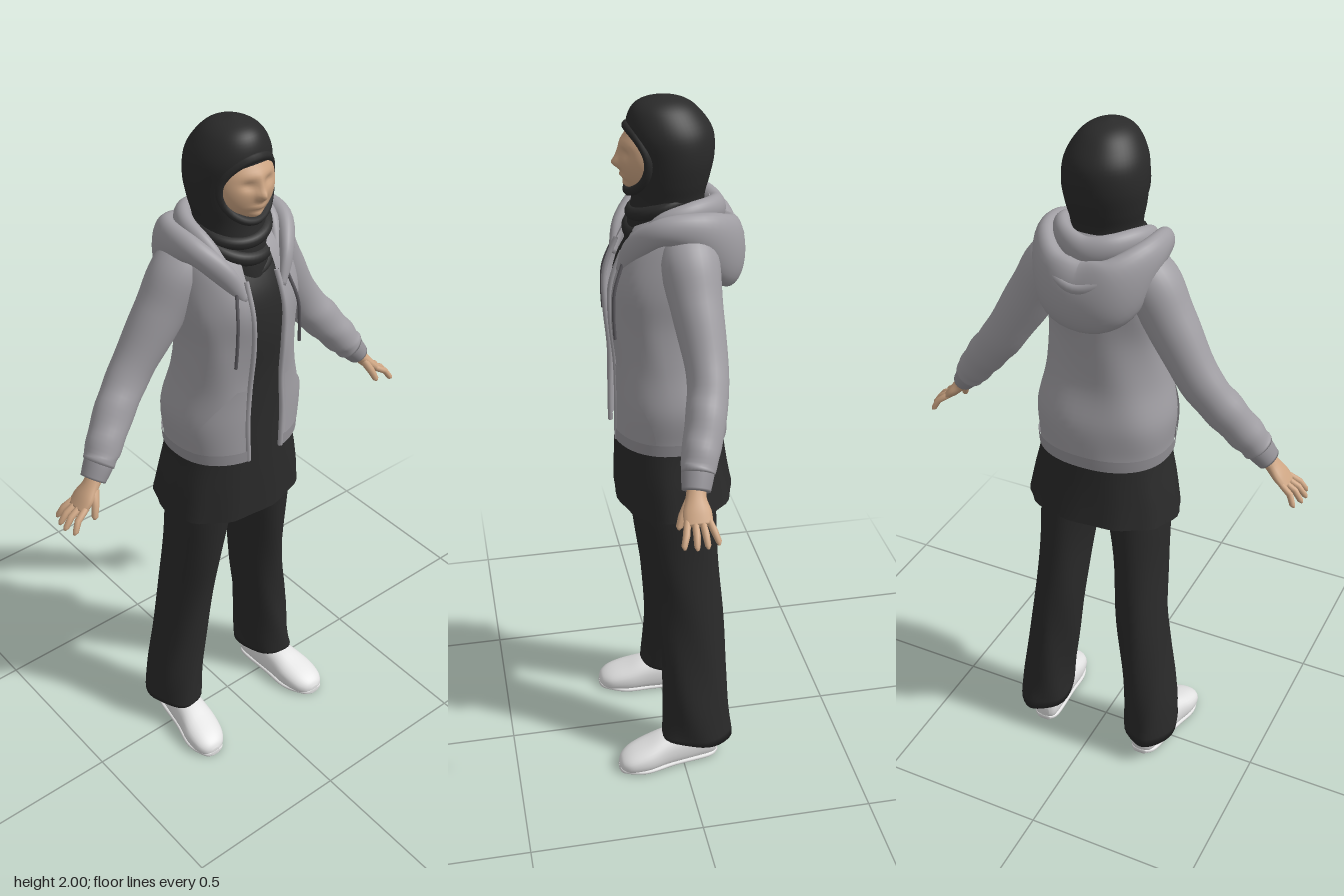
import * as THREE from 'three';

const mat = (name, color, side = THREE.FrontSide) => {
  const m = new THREE.MeshStandardMaterial({ color, side });
  m.name = name;
  return m;
};
const V = (x, y, z) => new THREE.Vector3(x, y, z);
const X = V(1, 0, 0), Y = V(0, 1, 0), Z = V(0, 0, 1);

// Smoothly subdivide rows of numbers (Catmull-Rom on every column)
function sample(rows, k = 5) {
  const out = [], n = rows.length;
  for (let i = 0; i < n - 1; i++) {
    const a = rows[Math.max(i - 1, 0)], b = rows[i], c = rows[i + 1], d = rows[Math.min(i + 2, n - 1)];
    for (let j = 0; j < k; j++) {
      const t = j / k;
      out.push(b.map((p, q) => p + 0.5 * t * (c[q] - a[q] + t * (2 * a[q] - 5 * p + 4 * c[q] - d[q]
        + t * (3 * (p - c[q]) + d[q] - a[q])))));
    }
  }
  out.push(rows[n - 1]);
  return out;
}

// Skin elliptical rings; each row is [x, y, z, radius along ref, radius across]
function skin(rows, { ref = Z, axis = null, n = 28, arc = null, power = 1, cap = true, wave = null } = {}) {
  const pos = [], idx = [], m = rows.length, cols = arc ? n + 1 : n;
  const P = rows.map(r => V(r[0], r[1], r[2]));
  const pw = v => Math.sign(v) * Math.abs(v) ** power;
  rows.forEach((r, i) => {
    const t = axis || P[Math.min(i + 1, m - 1)].clone().sub(P[Math.max(i - 1, 0)]).normalize();
    const u = ref.clone().addScaledVector(t, -ref.dot(t)).normalize();
    const v = t.clone().cross(u);
    const [a0, a1] = arc ? arc(i / (m - 1)) : [0, Math.PI * 2];
    for (let j = 0; j < cols; j++) {
      const a = a0 + (a1 - a0) * j / n;
      const p = P[i].clone().addScaledVector(u, pw(Math.cos(a)) * r[3]).addScaledVector(v, pw(Math.sin(a)) * r[4]);
      if (wave) wave(p, a, i / (m - 1));
      pos.push(p.x, p.y, p.z);
    }
  });
  for (let i = 0; i < m - 1; i++) for (let j = 0; j < n; j++) {
    const a = i * cols + j, b = i * cols + (j + 1) % cols;
    idx.push(a, b, b + cols, a, b + cols, a + cols);
  }
  if (cap && !arc) {
    pos.push(...P[0].toArray(), ...P[m - 1].toArray());
    const c = m * cols, e = (m - 1) * cols;
    for (let j = 0; j < n; j++) {
      const k = (j + 1) % n;
      idx.push(c, k, j, c + 1, e + j, e + k);
    }
  }
  const g = new THREE.BufferGeometry();
  g.setAttribute('position', new THREE.Float32BufferAttribute(pos, 3));
  g.setIndex(idx);
  g.computeVertexNormals();
  return g;
}

function tube(points, r, closed = false) {
  const c = new THREE.CatmullRomCurve3(points.map(p => V(...p)), closed);
  return new THREE.TubeGeometry(c, 48, r, 8, closed);
}

// Mirror across x, reversing corner order
function mirror(geo) {
  const g = geo.clone().scale(-1, 1, 1), ix = g.index.array;
  for (let i = 0; i < ix.length; i += 3) [ix[i], ix[i + 1]] = [ix[i + 1], ix[i]];
  return g;
}

export function createModel() {
  const root = new THREE.Group();
  const black = mat('black cloth', 0x2a2a2a, THREE.DoubleSide);
  const grey = mat('grey fleece', 0xa09ea3, THREE.DoubleSide);
  const trim = mat('grey ribbing', 0x939196, THREE.DoubleSide);
  const cord = mat('dark cord', 0x59575c);
  const skinTone = mat('skin', 0xcda583);
  const white = mat('white shoe', 0xe2e2e2);
  const add = (name, g, m) => {
    const mesh = new THREE.Mesh(g, m);
    mesh.name = name;
    root.add(mesh);
  };
  const pair = (name, g, m) => {
    add(name + 'Left', g, m);
    add(name + 'Right', mirror(g), m);
  };
  const up = { axis: Y, n: 48 };

  // Trousers and shoes
  pair('trouserLeg', skin(sample([
    [.184, .09, -.047, .107, .078], [.176, .2, -.045, .1, .077], [.155, .35, -.04, .096, .075],
    [.136, .52, -.032, .098, .073], [.121, .7, -.012, .104, .076], [.106, .86, 0, .11, .088], [.095, .97, 0, .11, .085]]),
  { axis: Y, n: 32, wave: (p, a, t) => {
    const f = .0035 * Math.sin(a * 4 + t * 14) * (1 - t);
    p.x += f; p.z += f;
    if (t === 0) p.y += p.z * .1;
  } }), black);
  pair('shoe', skin(sample([
    [.17, .035, -.113, .018, .018], [.172, .045, -.095, .05, .038], [.178, .05, -.03, .062, .046],
    [.187, .045, .05, .056, .052], [.196, .035, .11, .044, .059], [.202, .026, .16, .033, .052],
    [.205, .02, .187, .022, .034], [.206, .018, .197, .008, .012]]),
  { ref: Y, axis: Z, power: .85, wave: p => { p.y = Math.max(p.y, .006); } }), white);
  pair('shoeSole', skin(sample([
    [.17, .008, -.112, .008, .02], [.174, .008, -.08, .008, .042], [.185, .008, .03, .008, .05],
    [.197, .008, .12, .008, .06], [.205, .008, .185, .008, .036], [.206, .008, .198, .008, .012]]),
  { ref: Y, axis: Z, power: .6 }), white);

  // Long tunic with a flared, gently rippled hem
  add('tunic', skin(sample([
    [0, .872, -.005, .165, .223], [0, .96, .001, .157, .208], [0, 1.08, .006, .148, .183],
    [0, 1.2, .008, .142, .176], [0, 1.32, .021, .13, .158], [0, 1.45, .028, .132, .15],
    [0, 1.56, .02, .125, .15], [0, 1.66, 0, .09, .11]]),
  { ...up, cap: false, power: .9, wave: (p, a, t) => {
    const f = 1 + .018 * Math.sin(a * 11) * Math.max(0, 1 - t * 3);
    p.x *= f; p.z *= f;
    if (t < .2) p.y -= p.z * .08 * (1 - t * 5);
  } }), black);

  // Open hooded jacket body, hem band, pockets and front edges
  const body = sample([
    [0, 1.065, .008, .157, .187], [0, 1.1, .008, .157, .19], [0, 1.19, .009, .155, .197], [0, 1.3, .022, .142, .176],
    [0, 1.42, .03, .144, .165], [0, 1.52, .026, .147, .17], [0, 1.6, .01, .135, .166],
    [0, 1.665, -.008, .118, .15], [0, 1.715, -.025, .09, .115], [0, 1.74, -.03, .07, .085]], 6);
  const band = (lo, hi, d) => body.filter(r => r[1] >= lo && r[1] <= hi).map(r => [r[0], r[1], r[2], r[3] + d, r[4] + d]);
  const open = () => [.26, Math.PI * 2 - .26];
  add('jacketBody', skin(body, { ...up, arc: open, power: .88, wave: (p, a, t) => {
    p.z += .0035 * Math.sin(a * 5 + t * 16) * Math.sin(Math.PI * t);
  } }), grey);
  add('jacketHem', skin(band(1.06, 1.102, .005), { ...up, arc: open, power: .88 }), trim);
  pair('pocket', skin(band(1.1, 1.3, .006),
    { ...up, n: 16, power: .88, arc: t => [.32, 1.2 - .72 * t * t] }), grey);
  const edgeX = r => r[4] * Math.sin(.26) ** .88, edgeZ = r => r[2] + r[3] * Math.cos(.26) ** .88;
  pair('frontEdge', tube(band(1.06, 1.62, .001).map(r => [edgeX(r), r[1], edgeZ(r)]), .007), grey);
  pair('drawstring', tube([[.085, 1.59, .142], [.1, 1.52, .166], [.105, 1.45, .17], [.108, 1.39, .168]], .0045), cord);

  // Sleeves with ribbed cuffs
  pair('sleeve', skin(sample([
    [.1, 1.665, -.02, .06, .05], [.14, 1.605, -.022, .078, .075], [.2, 1.505, -.03, .068, .07],
    [.29, 1.36, -.04, .055, .06], [.36, 1.272, -.022, .053, .056], [.42, 1.195, .005, .049, .049],
    [.447, 1.16, .017, .043, .042]], 6),
  { wave: (p, a, t) => { p.y += .004 * Math.sin(t * 42 + a) * t; } }), grey);
  pair('cuff', skin(sample([
    [.432, 1.18, .011, .041, .04], [.45, 1.155, .018, .042, .038], [.473, 1.125, .026, .037, .032]]), {}), trim);

  // Hands: palm, four spread fingers and a thumb
  pair('palm', skin(sample([
    [.455, 1.145, .02, .024, .02], [.482, 1.112, .028, .027, .019], [.508, 1.084, .03, .037, .017],
    [.532, 1.06, .03, .036, .011]]), { n: 16 }), skinTone);
  [[.058, .075, .574], [.039, .044, .583], [.021, .016, .58], [.004, -.014, .568]].forEach(([z0, z1, x], i) => {
    pair('finger' + (i + 1), skin([
      [.52, 1.07, z0, .009, .009], [(.52 + x) / 2 + .006, 1.05, (z0 + z1) / 2, .0095, .0095],
      [x - .006, 1.026, z1, .008, .008], [x, 1.019, z1, .003, .003]], { n: 10 }), skinTone);
  });
  pair('thumb', skin([[.483, 1.105, .045, .013, .013], [.497, 1.072, .066, .011, .011],
    [.507, 1.046, .076, .009, .009], [.51, 1.039, .078, .003, .003]], { n: 10 }), skinTone);

  // Hood lying on the back, built from half a path and its reflection
  const loop = half => sample([...half, ...half.slice(0, -1).reverse().map(r => [-r[0], ...r.slice(1)])], 6);
  add('hood', skin(loop([
    [.062, 1.565, .145, .012, .01], [.1, 1.635, .115, .03, .02], [.143, 1.69, .045, .036, .028],
    [.14, 1.675, -.055, .06, .036], [.085, 1.615, -.128, .092, .047], [0, 1.585, -.143, .1, .053]]),
  { ref: Y }), grey);
  add('hoodCollar', skin(loop([
    [.075, 1.625, .105, .014, .014], [.108, 1.695, .045, .026, .02], [.108, 1.72, -.03, .03, .024],
    [.065, 1.715, -.095, .035, .026], [0, 1.7, -.118, .04, .028]]), { ref: Y }), grey);
  add('hoodRim', skin(loop([
    [.152, 1.715, .01, .012, .012], [.145, 1.705, -.07, .014, .013], [.09, 1.66, -.152, .015, .014],
    [0, 1.625, -.182, .016, .014]]), { ref: Y, n: 12 }), grey);

  // Head covering, rim around the face and draped neck folds
  add('headscarf', skin(sample([
    [0, 1.56, .07, .06, .045], [0, 1.62, .03, .093, .085], [0, 1.68, .01, .102, .093],
    [0, 1.74, .006, .095, .094], [0, 1.79, 0, .101, .105], [0, 1.85, -.005, .108, .112],
    [0, 1.91, .003, .112, .106], [0, 1.96, .015, .09, .08], [0, 1.987, .02, .058, .048], [0, 2, .02, .006, .005]]),
  up), black);
  const rim = [];
  for (let i = 0; i < 20; i++) {
    const a = i / 20 * Math.PI * 2;
    rim.push([.08 * Math.cos(a), 1.842 + .084 * Math.sin(a), .07 + .042 * Math.sin(a) ** 2]);
  }
  add('scarfRim', tube(rim, .012, true), black);
  [[1.725, .084, .018, .32, .1], [1.685, .086, .02, .4, -.12], [1.645, .08, .02, .5, .1], [1.61, .066, .018, .5, -.08]]
    .forEach(([y, r, tr, tilt, roll], i) => {
      const g = new THREE.TorusGeometry(r, tr, 12, 48);
      g.rotateX(Math.PI / 2 + tilt).rotateZ(roll).translate(0, y, .022 + i * .006);
      add('scarfFold' + (i + 1), g, black);
    });

  // Face: an ellipsoid pushed into nose, brow, eye sockets, lips and chin
  const face = new THREE.SphereGeometry(1, 64, 48);
  face.scale(.086, .1, .078).translate(0, 1.845, .055);
  const fp = face.attributes.position;
  const bumps = [[0, 1.832, .013, .014, .018], [0, 1.855, .009, .022, .009], [.032, 1.862, .018, .012, -.009],
    [-.032, 1.862, .018, .012, -.009], [0, 1.8, .022, .007, .008], [0, 1.775, .022, .012, .012], [0, 1.885, .05, .012, .004]];
  for (let i = 0; i < fp.count; i++) {
    if (fp.getZ(i) < .06) continue;
    const x = fp.getX(i), y = fp.getY(i);
    const d = bumps.reduce((s, [bx, by, sx, sy, h]) => s + h * Math.exp(-(((x - bx) / sx) ** 2) - ((y - by) / sy) ** 2), 0);
    fp.setZ(i, fp.getZ(i) + d);
  }
  face.computeVertexNormals();
  add('face', face, skinTone);

  return root;
}
